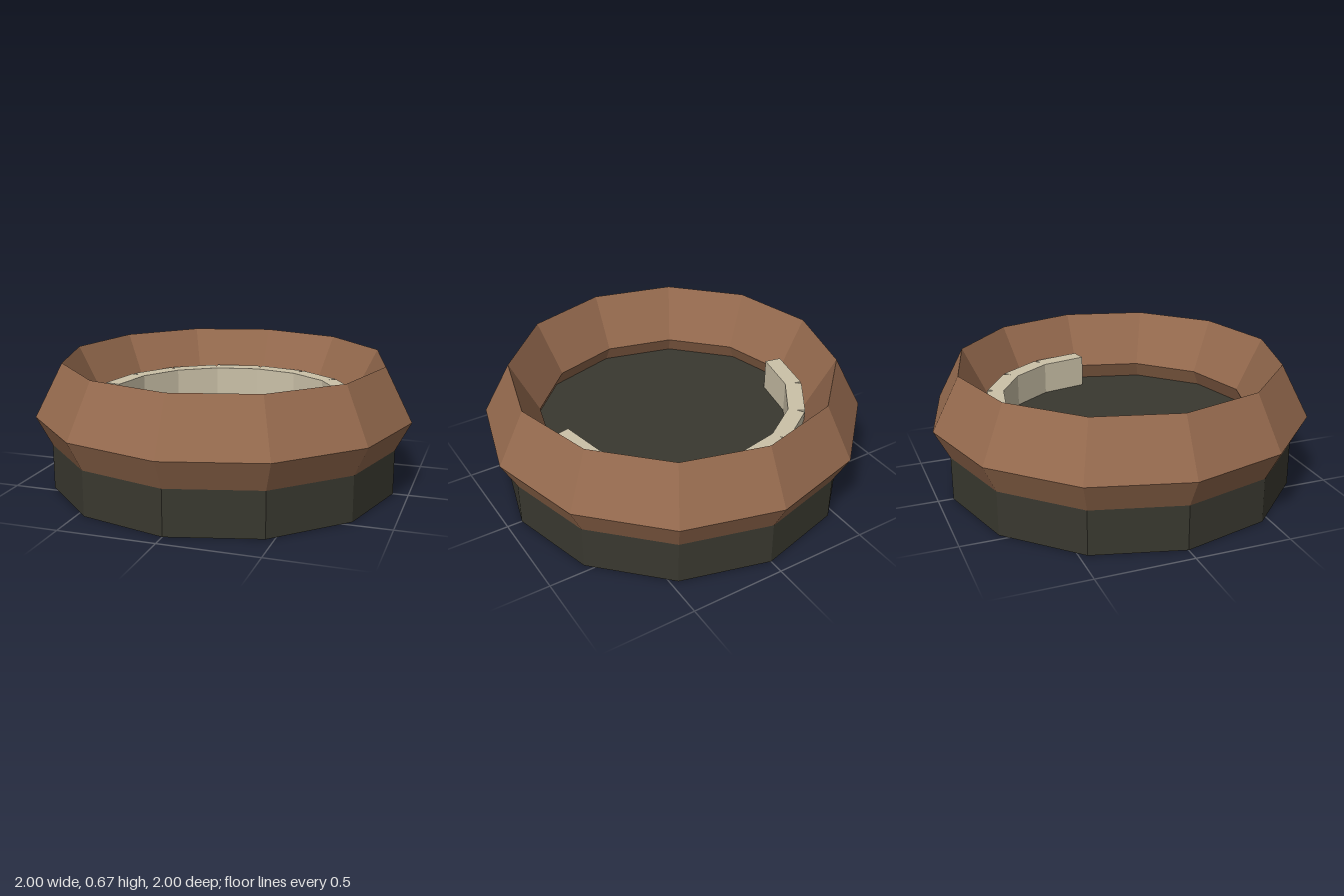
import * as THREE from 'three';

const SIDES = 12;

function material(name, color) {
  const m = new THREE.MeshStandardMaterial({ color, flatShading: true });
  m.name = name;
  return m;
}

function addPart(parent, name, geometry, mat) {
  const mesh = new THREE.Mesh(geometry, mat);
  mesh.name = name;
  parent.add(mesh);
  return mesh;
}

export function createModel() {
  const model = new THREE.Group();
  model.name = 'roundBasin';
  const darkStone = material('dark stone', 0x39382f);
  const brown = material('brown', 0x956a4e);
  const ivory = material('ivory', 0xcbc1a8);

  // Solid base; its top is the floor inside the rim
  const baseHeight = 0.3;
  const base = addPart(model, 'base', new THREE.CylinderGeometry(0.92, 0.92, baseHeight, SIDES), darkStone);
  base.position.y = baseHeight / 2;

  // Rim with a diamond-shaped cross-section
  const profile = [[0.855, 0.11], [1, 0.39], [0.855, 0.67], [0.71, 0.39], [0.855, 0.11]]
    .map(([r, y]) => new THREE.Vector2(r, y));
  addPart(model, 'rim', new THREE.LatheGeometry(profile, SIDES), brown);

  // Half ring of straight blocks standing along the back of the floor
  const ledge = new THREE.Group();
  ledge.name = 'backLedge';
  model.add(ledge);
  const count = 8, radius = 0.647, bottom = 0.29, top = 0.472;
  const length = 2 * radius * Math.tan(Math.PI / count / 2);
  const block = new THREE.BoxGeometry(0.088, top - bottom, length);
  for (let i = 0; i < count; i++) {
    const a = (i + 0.5) * Math.PI / count;
    const mesh = addPart(ledge, 'ledgeBlock', block, ivory);
    mesh.position.set(radius * Math.cos(a), (top + bottom) / 2, -radius * Math.sin(a));
    mesh.rotation.y = a;
  }
  return model;
}
